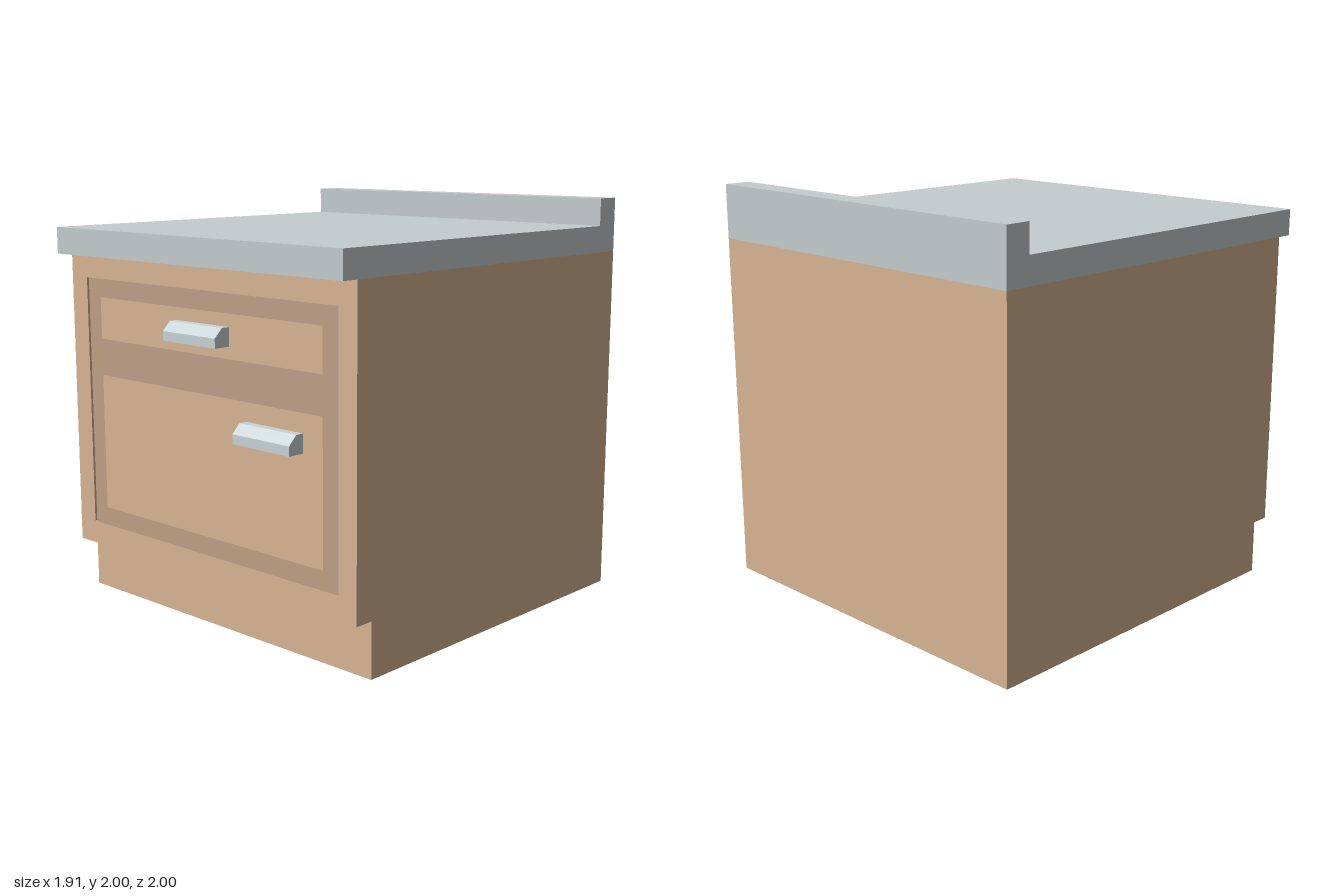
import * as THREE from 'three';

const WIDTH = 1.91, FRONT = 0.915, INSET = 0.035;

const paint = (color) => new THREE.MeshStandardMaterial({ color });

function shapeOf(points) {
  return new THREE.Shape(points.map(([x, y]) => new THREE.Vector2(x, y)));
}

const rect = (x0, x1, y0, y1) => shapeOf([[x0, y0], [x1, y0], [x1, y1], [x0, y1]]);

// Sweeps a side profile of [z, y] points across the width, centred on x
function sweepAcross(points, width) {
  const geo = new THREE.ExtrudeGeometry(shapeOf(points), { depth: width, bevelEnabled: false });
  return geo.translate(0, 0, -width / 2).rotateY(-Math.PI / 2);
}

// Flat board flush with the cabinet front, with optional openings
function frontBoard(outline, holes = []) {
  outline.holes.push(...holes);
  const geo = new THREE.ExtrudeGeometry(outline, { depth: INSET, bevelEnabled: false });
  return geo.translate(0, 0, FRONT - INSET);
}

export function createModel() {
  const group = new THREE.Group();
  const wood = paint(0xd9b594);
  const darkWood = paint(0xc0a086);
  const stone = paint(0xc5cdcf);
  const metal = paint(0xc9d4d7);

  const add = (name, geometry, material) => {
    const mesh = new THREE.Mesh(geometry, material);
    mesh.name = name;
    group.add(mesh);
    return mesh;
  };

  // Carcass with toe kick
  const back = FRONT - INSET;
  add('carcass', sweepAcross([
    [-1, 0], [0.82, 0], [0.82, 0.265], [back, 0.265], [back, 1.735], [-1, 1.735],
  ], WIDTH), wood);

  // Face frame; its opening leaves a narrow hinge gap left of the door
  add('faceFrame', frontBoard(
    rect(-WIDTH / 2, WIDTH / 2, 0.265, 1.735),
    [rect(-0.84, 0.85, 0.38, 1.62)],
  ), wood);

  // Dark rails around the drawer and door panels
  const drawer = [-0.735, 0.76, 1.325, 1.53];
  const door = [-0.735, 0.76, 0.47, 1.145];
  add('doorRails', frontBoard(
    rect(-0.825, 0.85, 0.38, 1.62),
    [rect(...drawer), rect(...door)],
  ), darkWood);
  add('drawerPanel', frontBoard(rect(...drawer)), wood);
  add('doorPanel', frontBoard(rect(...door)), wood);

  // Worktop with upstand at the back
  add('worktop', sweepAcross([
    [-1, 1.735], [1, 1.735], [1, 1.865], [-0.87, 1.865], [-0.87, 2], [-1, 2],
  ], WIDTH), stone);

  // Chamfered handles
  const handle = sweepAcross([
    [FRONT, 0], [1, 0], [1, 0.045], [0.957, 0.088], [FRONT, 0.088],
  ], 0.353);
  add('drawerHandle', handle, metal).position.set(0.01, 1.382, 0);
  add('doorHandle', handle, metal).position.set(0.468, 0.968, 0);

  return group;
}
